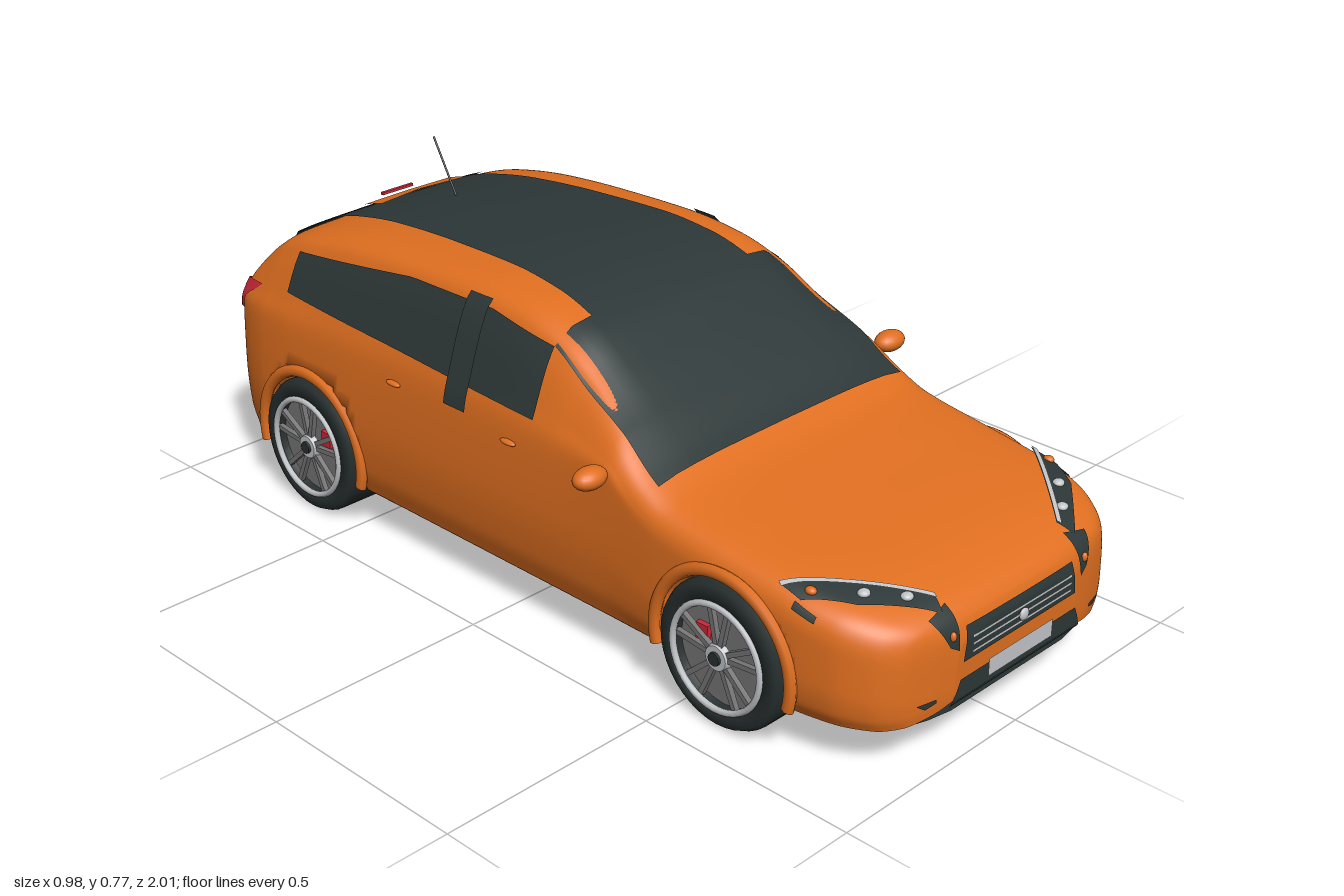
import * as THREE from 'three';

const mat = (name, color) => {
  const m = new THREE.MeshStandardMaterial({ color, side: THREE.DoubleSide });
  m.name = name;
  return m;
};

// Stations along the body: z, half width, sill height, roof height
const STATIONS = [
  [-.995, .20, .13, .28], [-.985, .27, .12, .335], [-.97, .315, .11, .39], [-.94, .355, .105, .455],
  [-.9, .385, .1, .51], [-.85, .402, .1, .56], [-.8, .411, .1, .592], [-.7, .416, .1, .625],
  [-.55, .416, .1, .652], [-.35, .414, .1, .668], [-.15, .414, .1, .674], [-.02, .414, .1, .663],
  [.1, .414, .1, .628], [.2, .414, .1, .57], [.3, .414, .1, .50], [.38, .415, .1, .442],
  [.45, .416, .1, .412], [.6, .416, .1, .388], [.75, .412, .1, .368], [.85, .395, .1, .35],
  [.92, .36, .1, .33], [.96, .315, .105, .311], [.98, .25, .115, .29], [.99, .19, .13, .265],
];
const Z0 = -.995, Z1 = .99, K = 48;
const WHEELS = [.61, -.635], WHEEL_Y = .157;

// Monotone cubic lookup of column c in rows sorted by column 0
function lookup(rows, v, c) {
  const n = rows.length - 1;
  let i = 0;
  while (i < n - 1 && v > rows[i + 1][0]) i++;
  const slope = k => (rows[k + 1][c] - rows[k][c]) / (rows[k + 1][0] - rows[k][0]);
  const tangent = k => {
    if (k === 0) return slope(0);
    if (k === n) return slope(n - 1);
    const a = slope(k - 1), b = slope(k);
    return a * b <= 0 ? 0 : 2 * a * b / (a + b);
  };
  const h = rows[i + 1][0] - rows[i][0];
  const t = THREE.MathUtils.clamp((v - rows[i][0]) / h, 0, 1), t2 = t * t, t3 = t2 * t;
  return rows[i][c] * (2 * t3 - 3 * t2 + 1) + rows[i + 1][c] * (3 * t2 - 2 * t3)
    + h * (tangent(i) * (t3 - 2 * t2 + t) + tangent(i + 1) * (t3 - t2));
}

// Half cross-section from sill to roof centre; low sections are bonnet-shaped, tall ones cabin-shaped
const cache = new Map();
function section(z) {
  const key = Math.round(z * 1e5);
  if (cache.has(key)) return cache.get(key);
  const [w, y0, top] = [1, 2, 3].map(c => lookup(STATIONS, z, c));
  const belt = Math.min(.42, top - .08);
  const g = THREE.MathUtils.smoothstep(top, .42, .6);
  const mix = (a, b) => a + (b - a) * g;
  const rows = [[.945, 0], [.985, .2], [1, .5], [mix(.992, .97), 1]].map(([x, f], i) => [i, x * w, y0 + f * (belt - y0)]);
  [[mix(.98, .915), .31], [mix(.945, .83), mix(.6, .7)], [mix(.87, .765), mix(.8, .88)],
    [mix(.68, .64), mix(.93, .96)], [.4, .985], [0, 1]]
    .forEach(([x, f], i) => rows.push([4 + i, x * w, belt + f * (top - belt)]));
  const pts = [];
  for (let j = 0; j <= K; j++) pts.push([lookup(rows, 9 * j / K, 1), lookup(rows, 9 * j / K, 2)]);
  cache.set(key, pts);
  return pts;
}

function inside(x, y, z) {
  if (z < Z0 || z > Z1) return false;
  const s = section(z);
  if (y < s[0][1] || y > s[K][1]) return false;
  let j = 0;
  while (j < K - 1 && y > s[j + 1][1]) j++;
  const t = (y - s[j][1]) / Math.max(1e-9, s[j + 1][1] - s[j][1]);
  return Math.abs(x) <= s[j][0] + t * (s[j + 1][0] - s[j][0]);
}

// Point on the body seen along an axis: y takes (x,z), x takes (z,y), z takes (x,y)
function onBody(axis, sign, a, b, off) {
  const at = d => axis === 'y' ? [a, d, b] : axis === 'x' ? [sign * d, b, a] : [a, b, sign * d];
  let lo = axis === 'y' ? .2 : 0, hi = 1.05;
  for (let k = 0; k < 20; k++) {
    const m = (lo + hi) / 2;
    if (inside(...at(m))) lo = m; else hi = m;
  }
  return at(lo + off);
}

function gridGeometry(nu, nv, point) {
  const pos = [], index = [];
  for (let i = 0; i <= nu; i++) for (let j = 0; j <= nv; j++) pos.push(...point(i / nu, j / nv));
  for (let i = 0; i < nu; i++) for (let j = 0; j < nv; j++) {
    const a = i * (nv + 1) + j, c = a + nv + 1;
    index.push(a, a + 1, c, c, a + 1, c + 1);
  }
  const g = new THREE.BufferGeometry();
  g.setAttribute('position', new THREE.Float32BufferAttribute(pos, 3));
  g.setIndex(index);
  return g;
}

function along(line, t) {
  const f = t * (line.length - 1), i = Math.min(line.length - 2, Math.floor(f)), k = f - i;
  return [0, 1].map(c => line[i][c] + k * (line[i + 1][c] - line[i][c]));
}

export function createModel() {
  const car = new THREE.Group();
  car.name = 'car';
  const paint = mat('orange paint', 0xe06f20), dark = mat('dark glass and trim', 0x2d3737);
  const rubber = mat('tyre rubber', 0x283030), silver = mat('silver', 0xc2c5c8);
  const grey = mat('wheel grey', 0x777777), red = mat('red', 0xcc2838);

  const add = (name, geo, m, x = 0, y = 0, z = 0, parent = car) => {
    const mesh = new THREE.Mesh(geo, m);
    mesh.name = name;
    mesh.position.set(x, y, z);
    parent.add(mesh);
    return mesh;
  };
  // Thin skin lying on the body between two outline edges
  const patch = (name, m, axis, sign, lower, upper, off = .005) => {
    const g = gridGeometry(40, 14, (u, v) => {
      const p = along(lower, u), q = along(upper, u);
      return onBody(axis, sign, p[0] + v * (q[0] - p[0]), p[1] + v * (q[1] - p[1]), off);
    });
    g.computeVertexNormals();
    return add(name, g, m);
  };
  const ellipsoid = (rx, ry, rz) => new THREE.SphereGeometry(1, 20, 14).scale(rx, ry, rz);

  // Body shell, recessed behind each wheel, with closed ends
  const N = 180, R = 2 * K;
  const shell = gridGeometry(N, R, (u, v) => {
    const z = (Z0 + Z1) / 2 + (Z1 - Z0) / 2 * Math.sin((u - .5) * Math.PI);
    const j = Math.round(v * R), s = section(z)[j <= K ? j : R - j];
    let x = s[0];
    if (WHEELS.some(c => Math.hypot(z - c, s[1] - WHEEL_Y) < .165)) x = Math.min(x, .37);
    return [j <= K ? x : -x, s[1], z];
  });
  const pos = [...shell.attributes.position.array], index = [...shell.index.array];
  const rear = pos.length / 3, last = N * (R + 1);
  pos.push(0, .2, Z0, 0, .2, Z1);
  for (let j = 0; j <= R; j++) {
    const k = (j + 1) % (R + 1);
    index.push(rear, k, j, rear + 1, last + j, last + k);
  }
  shell.setAttribute('position', new THREE.Float32BufferAttribute(pos, 3));
  shell.setIndex(index);
  shell.computeVertexNormals();
  add('body', shell, paint);

  // Underbody plate following the plan outline
  const plan = STATIONS.map(([z, w]) => new THREE.Vector2(w * .93, -z * .985));
  const outline = [...plan, ...plan.map(p => new THREE.Vector2(-p.x, p.y)).reverse()];
  add('underbody', new THREE.ExtrudeGeometry(new THREE.Shape(outline), { depth: .018, bevelEnabled: false })
    .rotateX(-Math.PI / 2), dark, 0, .094, 0);

  // Glass over the top, spoiler and high brake light
  patch('windscreen', dark, 'y', 1, [[-.365, .4], [-.33, .08]], [[.365, .4], [.33, .08]]);
  patch('roofPanel', dark, 'y', 1, [[-.23, .085], [-.19, -.83]], [[.23, .085], [.19, -.83]]);
  patch('rearWindow', dark, 'y', 1, [[-.275, -.82], [-.23, -.9]], [[.275, -.82], [.23, -.9]], .007);
  patch('spoiler', paint, 'y', 1, [[-.125, -.77], [0, -.77], [.125, -.77]], [[-.125, -.705], [0, -.725], [.125, -.705]], .014);
  add('highBrakeLight', new THREE.BoxGeometry(.09, .006, .008), red, 0, .612, -.805);
  const mast = new THREE.LineCurve3(new THREE.Vector3(0, .643, -.59), new THREE.Vector3(0, .773, -.665));
  add('antenna', new THREE.TubeGeometry(mast, 1, .0025, 6), dark);

  // Nose: grille, slats, number plate, intake
  patch('grille', dark, 'z', 1, [[-.175, .207], [.175, .207]], [[-.165, .278], [.165, .278]]);
  for (const y of [.22, .236, .252]) patch('grilleSlat', silver, 'z', 1, [[-.155, y], [.155, y]], [[-.155, y + .006], [.155, y + .006]], .009);
  add('noseStud', ellipsoid(.013, .013, .006), silver, 0, .237, 1);
  patch('lowerIntake', dark, 'z', 1, [[-.205, .118], [.205, .118]], [[-.18, .172], [.18, .172]]);
  patch('numberPlate', silver, 'z', 1, [[-.1, .145], [.1, .145]], [[-.1, .183], [.1, .183]], .009);
  add('tailStud', ellipsoid(.014, .012, .006), silver, ...onBody('z', -1, 0, .4, .002));

  for (const s of [1, -1]) {
    const flip = line => line.map(([x, b]) => [s * x, b]);
    // Headlamps
    const inner = [[.385, .725], [.30, .815], [.19, .93]];
    patch('headlamp', dark, 'y', 1, flip(inner), flip([[.387, .78], [.33, .865], [.205, .965]]), .007);
    patch('headlampTail', dark, 'z', 1, flip([[.19, .238], [.213, .252]]), flip([[.184, .318], [.242, .308]]), .007);
    patch('headlampTrim', silver, 'y', 1, flip(inner), flip(inner.map(([x, z]) => [x + .004, z + .01])), .011);
    for (const [x, z] of [[.30, .855], [.24, .907]]) {
      add('headlampBulb', ellipsoid(.013, .008, .012), silver, ...onBody('y', 1, s * x, z, .008));
    }
    add('indicator', ellipsoid(.010, .008, .012), paint, ...onBody('y', 1, s * .365, .785, .008));
    add('cornerBulb', ellipsoid(.007, .010, .006), paint, ...onBody('z', 1, s * .205, .272, .008));
    patch('fogSlit', dark, 'z', 1, flip([[.24, .145], [.265, .138]]), flip([[.24, .153], [.285, .152]]));
    patch('wingVent', dark, 'x', s, [[.77, .322], [.82, .308]], [[.77, .335], [.82, .32]]);

    // Side glass, pillar, handles and mirrors
    patch('sideWindow', dark, 'x', s, [[.08, .46], [-.3, .475], [-.73, .49]],
      [[.08, .60], [-.1, .628], [-.35, .623], [-.73, .575]]);
    patch('doorPillar', dark, 'x', s, [[-.105, .42], [-.17, .42]], [[-.105, .645], [-.17, .645]], .013);
    for (const [z, y] of [[.02, .395], [-.34, .405]]) {
      add('doorHandle', ellipsoid(.008, .006, .022), paint, ...onBody('x', s, z, y, .004));
    }
    add('wingMirror', ellipsoid(.04, .023, .028), paint, s * .45, .433, .30);

    // Tail lamps, bumper reflectors
    patch('tailLamp', red, 'z', -1, flip([[.15, .365], [.27, .372], [.385, .405]]),
      flip([[.16, .392], [.27, .42], [.37, .475]]), .009);
    patch('bumperInsert', dark, 'z', -1, flip([[.19, .128], [.33, .128]]), flip([[.21, .155], [.345, .165]]));
    patch('reflector', red, 'z', -1, flip([[.25, .137], [.30, .137]]), flip([[.25, .15], [.30, .15]]), .009);

    // Wheels with arch flares
    for (const zc of WHEELS) {
      const wheel = new THREE.Group();
      wheel.name = 'wheel';
      wheel.position.set(s * .426, WHEEL_Y, zc);
      wheel.rotation.y = s * Math.PI / 2;
      car.add(wheel);
      const put = (name, geo, m, x = 0, y = 0, z = 0) => add(name, geo, m, x, y, z, wheel);
      const tread = [[.112, -.185], [.145, -.185], [.156, -.165], [.156, -.02], [.148, -.004], [.118, 0], [.112, -.03]];
      put('tyre', new THREE.LatheGeometry(tread.map(p => new THREE.Vector2(...p)), 40).rotateX(Math.PI / 2), rubber);
      put('innerWheel', new THREE.CylinderGeometry(.113, .113, .13, 32).rotateX(Math.PI / 2), rubber, 0, 0, -.11);
      put('brakeDisc', new THREE.CylinderGeometry(.112, .112, .01, 32).rotateX(Math.PI / 2), grey, 0, 0, -.03);
      put('rim', new THREE.TorusGeometry(.112, .007, 8, 40), silver);
      for (let k = 0; k < 10; k++) {
        const a = (Math.floor(k / 2) + (k % 2 ? .17 : -.17)) * Math.PI * 2 / 5 + Math.PI / 2;
        const spoke = put('spoke', new THREE.BoxGeometry(.09, .011, .012), grey, Math.cos(a) * .065, Math.sin(a) * .065, -.01);
        spoke.rotation.z = a;
      }
      put('hub', new THREE.CylinderGeometry(.026, .03, .014, 20).rotateX(Math.PI / 2), silver, 0, 0, -.006);
      put('hubCap', new THREE.CylinderGeometry(.014, .014, .008, 16).rotateX(Math.PI / 2), rubber, 0, 0, .003);
      put('caliper', new THREE.BoxGeometry(.03, .035, .012), red, s * Math.sign(zc) * .05, .03, -.02);
      put('archFlare', new THREE.TorusGeometry(.174, .014, 8, 40, Math.PI + .5).rotateZ(-.25).scale(1, 1, .8), paint, 0, 0, -.014);
    }
  }

  // Twin exhaust pipes
  for (const x of [.215, .25]) {
    add('exhaustPipe', new THREE.CylinderGeometry(.013, .013, .07, 16, 1, true).rotateX(Math.PI / 2), silver, x, .116, -.965);
  }
  return car;
}
